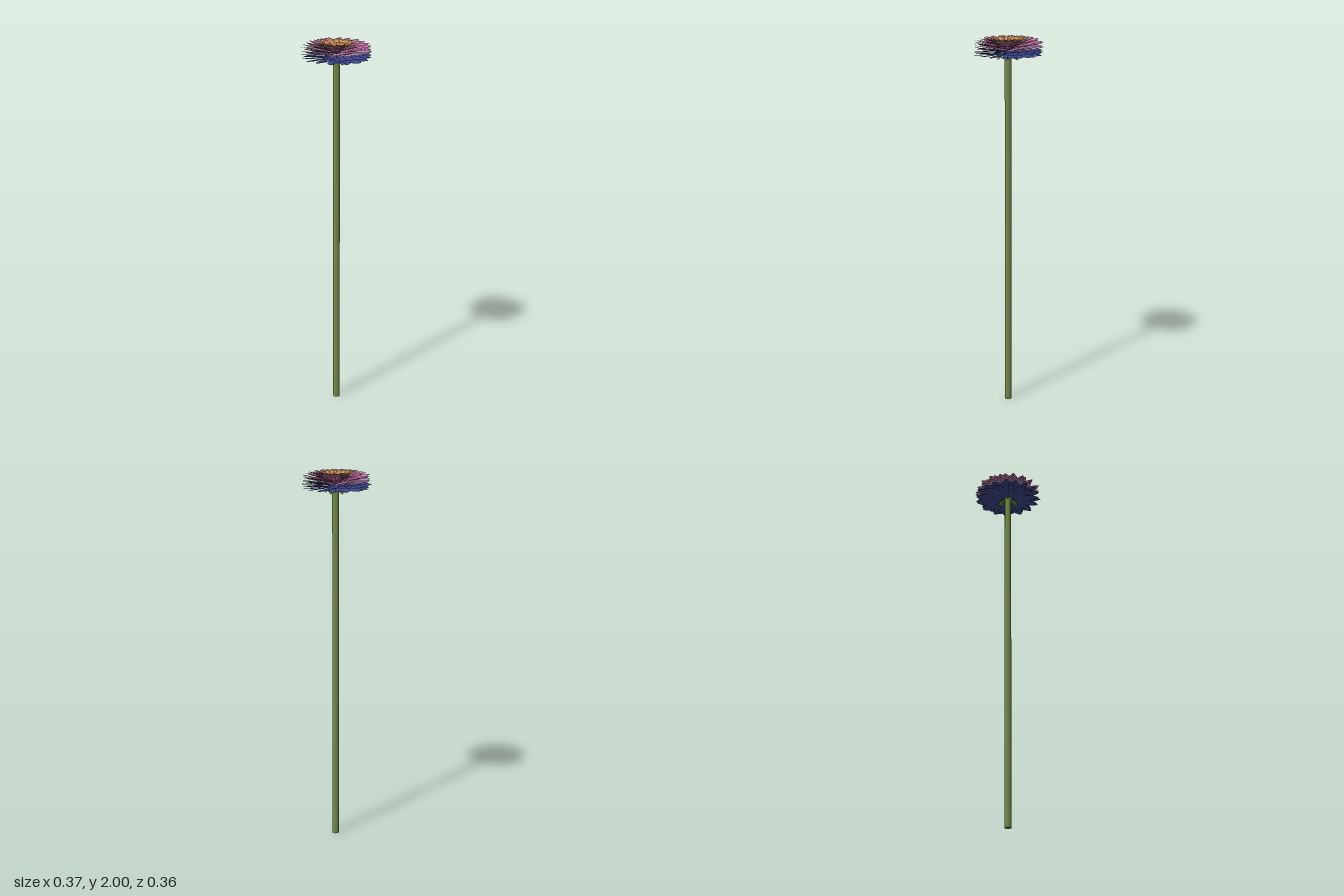
import * as THREE from 'three';
import { mergeGeometries } from 'three/addons/utils/BufferGeometryUtils.js';

const mat = (name, color) => {
  const m = new THREE.MeshStandardMaterial({ color, side: THREE.DoubleSide });
  m.name = name;
  return m;
};

// Petal outline: distance along the petal, share of the full half width
const OUTLINE = [[0, 0.12], [0.25, 0.5], [0.45, 0.82], [0.62, 1], [0.76, 0.95], [0.88, 0.66], [0.96, 0.3], [1, 0.06]];
// Petal section: position across, height in units of the crease depth
const SECTION = [[-1, 1.2], [-0.5, 0.3], [-0.13, 0.7], [0, -0.5], [0.13, 0.7], [0.5, 0.3], [1, 1.2]];

// One creased petal pointing along +z, faceted
function petal({ r0 = 0.004, r1, y0, y1, half, crease = 0.0018, roll = 0, bend = 0.8 }) {
  const pos = [], index = [], n = SECTION.length;
  for (const [t, w] of OUTLINE) {
    const y = y0 + (y1 - y0) * Math.pow(t, bend);
    for (const [u, h] of SECTION) {
      const x = u * w * half;
      pos.push(x, y + crease * w * (h - 1.2) + roll * x, r0 + (r1 - r0) * t);
    }
  }
  for (let j = 0; j < OUTLINE.length - 1; j++) {
    for (let i = 0; i < n - 1; i++) {
      const a = j * n + i, b = a + 1, c = a + n, d = c + 1;
      index.push(a, c, b, b, c, d);
    }
  }
  const g = new THREE.BufferGeometry();
  g.setAttribute('position', new THREE.Float32BufferAttribute(pos, 3));
  g.setIndex(index);
  const flat = g.toNonIndexed();
  flat.computeVertexNormals();
  return flat;
}

// A ring of petals merged into one mesh, each tilted so that it overlaps the next
function ring(name, material, count, offset, options) {
  const petals = [];
  for (let i = 0; i < count; i++) {
    const vary = Math.sin(i * 2.4 + offset * 7);
    const p = petal({ ...options, r1: options.r1 * (1 + 0.018 * (vary - 1)) });
    p.rotateY(((i + offset) / count) * Math.PI * 2 + 0.03 * vary);
    petals.push(p);
  }
  const mesh = new THREE.Mesh(mergeGeometries(petals), material);
  mesh.name = name;
  return mesh;
}

export function createModel() {
  const flower = new THREE.Group();
  flower.name = 'flower';

  const green = mat('stem green', 0x74874a);
  const leaf = mat('sepal green', 0x86a150);
  const amber = mat('amber', 0xc98552);
  const orange = mat('orange', 0xdc9c60);
  const salmon = mat('salmon', 0xd0918a);
  const rose = mat('dusty rose', 0xc98799);
  const pink = mat('pink', 0xcb70aa);
  const mauve = mat('mauve', 0xa680aa);
  const navy = mat('navy', 0x3c4488);

  // Stem
  const stem = new THREE.Mesh(new THREE.CylinderGeometry(0.018, 0.018, 1.925, 20), green);
  stem.name = 'stem';
  stem.position.y = 1.925 / 2;
  flower.add(stem);

  // Drooping sepals under the bloom
  flower.add(ring('sepals', leaf, 6, 0.25,
    { r0: 0.012, r1: 0.06, y0: 1.922, y1: 1.888, half: 0.017, crease: 0.003, bend: 1.8 }));

  // Petal rings from the outside in, forming a shallow bowl
  const bloom = new THREE.Group();
  bloom.name = 'bloom';
  const rings = [
    // name, colour, count, offset, tip radius, base y, tip y, half width
    ['lowestPetals', navy, 14, 0.1, 0.178, 1.922, 1.914, 0.031],
    ['outerPetals', navy, 18, 0.6, 0.186, 1.926, 1.932, 0.031],
    ['mauvePetals', mauve, 18, 0.2, 0.184, 1.931, 1.955, 0.031],
    ['widePinkPetals', pink, 17, 0.55, 0.183, 1.936, 1.978, 0.027],
    ['pinkPetals', pink, 16, 0.15, 0.156, 1.941, 1.992, 0.029],
    ['rosePetals', rose, 15, 0.5, 0.13, 1.946, 1.998, 0.025],
    ['salmonPetals', salmon, 14, 0.1, 0.108, 1.951, 1.999, 0.023],
    ['orangePetals', orange, 13, 0.5, 0.088, 1.956, 1.998, 0.02],
    ['innerPetals', amber, 9, 0.2, 0.054, 1.962, 1.988, 0.016],
  ];
  for (const [name, material, count, offset, r1, y0, y1, half] of rings) {
    bloom.add(ring(name, material, count, offset, { r1, y0, y1, half, roll: 0.12 }));
  }
  flower.add(bloom);

  return flower;
}
